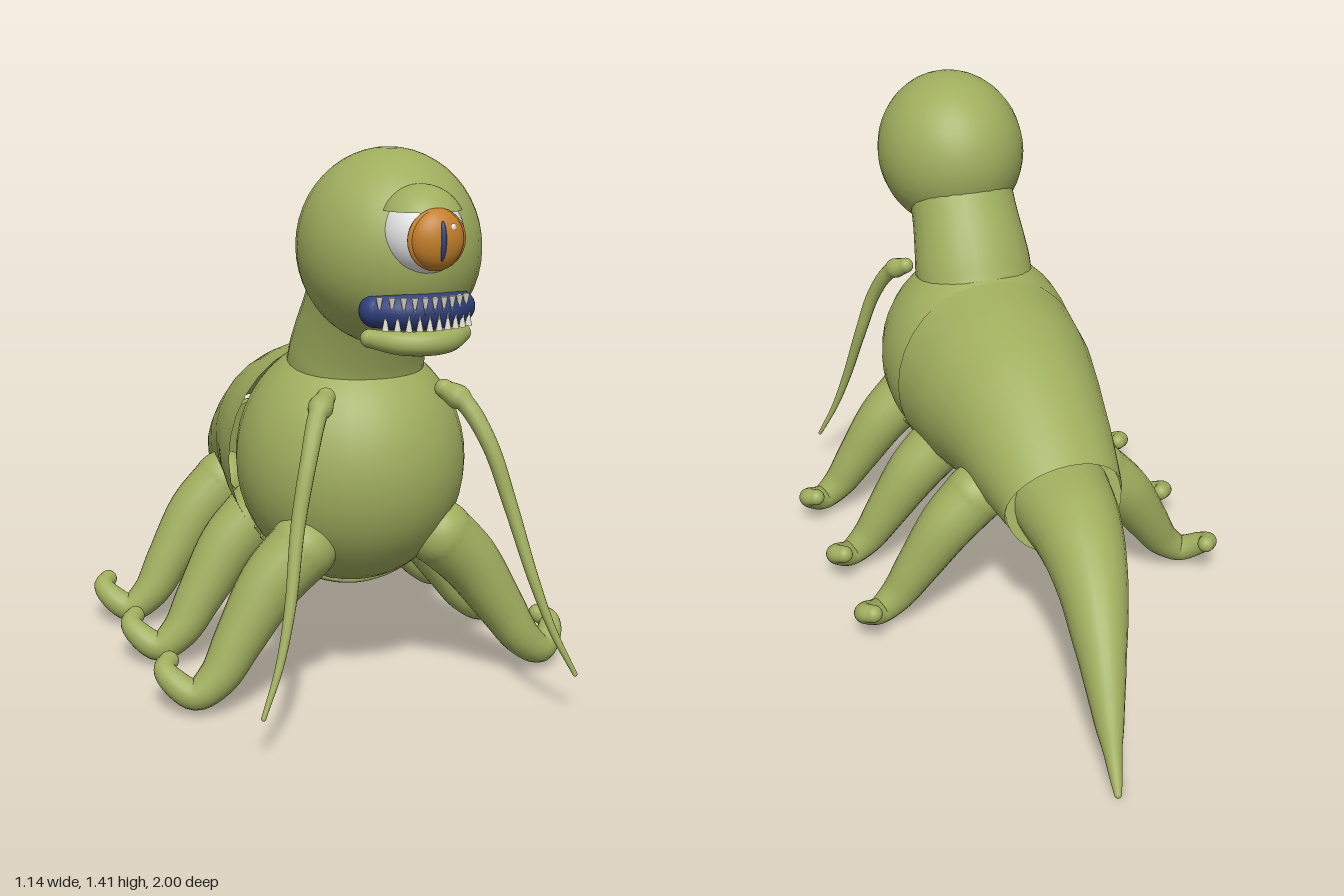
import * as THREE from 'three';
import { mergeVertices } from 'three/addons/utils/BufferGeometryUtils.js';

const mat = (name, color) => {
  const m = new THREE.MeshStandardMaterial({ color });
  m.name = name;
  return m;
};

// Tapered tube through points [x, y, z, radius, x-stretch]
function limb(points, segments, sides = 20) {
  const curve = new THREE.CatmullRomCurve3(points.map(p => new THREE.Vector3(p[0], p[1], p[2])));
  const size = new THREE.CatmullRomCurve3(points.map(p => new THREE.Vector3(p[3], p[4] ?? 1, 0)));
  // Keep the radii in step with the control points
  curve.getPointAt = (t, v) => curve.getPoint(t, v);
  curve.getTangentAt = (t, v) => curve.getTangent(t, v);
  const geo = new THREE.TubeGeometry(curve, segments, 1, sides, false);
  const pos = geo.attributes.position;
  const v = new THREE.Vector3();
  for (let i = 0; i < pos.count; i++) {
    const t = Math.floor(i / (sides + 1)) / segments;
    const c = curve.getPoint(t);
    const s = size.getPoint(t);
    v.fromBufferAttribute(pos, i).sub(c).multiplyScalar(s.x);
    v.x *= s.y;
    v.add(c);
    pos.setXYZ(i, v.x, v.y, v.z);
  }
  geo.deleteAttribute('uv');
  geo.deleteAttribute('normal');
  const smooth = mergeVertices(geo, 1e-5);
  smooth.computeVertexNormals();
  return smooth;
}

export function createModel() {
  const skin = mat('green skin', 0xa0ae5e);
  skin.side = THREE.DoubleSide;
  const blue = mat('dark blue', 0x2e3f7c);
  const orange = mat('orange iris', 0xc4802a);
  const white = mat('eye white', 0xe6e6e6);
  const ivory = mat('ivory teeth', 0xe2decb);
  const root = new THREE.Group();
  root.name = 'creature';

  const add = (name, geo, material, parent = root) => {
    const m = new THREE.Mesh(geo, material);
    m.name = name;
    parent.add(m);
    return m;
  };
  const ball = (name, material, [x, y, z], [rx, ry, rz], parent = root) => {
    const m = add(name, new THREE.SphereGeometry(1, 32, 24), material, parent);
    m.position.set(x, y, z);
    m.scale.set(rx, ry, rz);
    return m;
  };
  // Limb with rounded ends
  const roundLimb = (name, points, segments, sides, material, parent = root) => {
    const g = new THREE.Group();
    g.name = name;
    parent.add(g);
    add(name + 'Shaft', limb(points, segments, sides), material, g);
    for (const p of [points[0], points[points.length - 1]])
      ball(name + 'End', material, p, [p[3], p[3], p[3]], g);
    return g;
  };

  // Torso
  ball('chest', skin, [0, 0.587, 0.43], [0.3, 0.327, 0.31]);
  add('abdomen', limb([
    [0, 0.57, 0.31, 0.312, 0.95], [0, 0.567, 0.17, 0.287, 0.97],
    [0, 0.55, 0.02, 0.25, 0.98], [0, 0.505, -0.15, 0.198, 1.06], [0, 0.456, -0.3, 0.148, 1.18],
  ], 28, 32), skin);
  const rump = add('rumpCap', new THREE.CircleGeometry(1, 32), skin);
  rump.position.set(0, 0.456, -0.3);
  rump.scale.set(0.174, 0.147, 1);
  rump.rotation.set(0.25, Math.PI, 0);

  // Belly folds
  [0.5, 0.43, 0.36, 0.29].forEach(z => {
    const f = Math.sqrt(1 - ((z - 0.43) / 0.31) ** 2);
    const pts = [];
    for (let i = 0; i <= 8; i++) {
      const a = -Math.PI * (0.2 + 0.6 * i / 8);
      pts.push([0.3 * f * Math.cos(a), 0.587 + 0.327 * f * Math.sin(a), z, 0.01]);
    }
    add('bellyFold', limb(pts, 24, 8), skin);
  });

  // Neck and head
  add('neck', limb([
    [0, 0.82, 0.455, 0.172, 1.04], [0, 0.9, 0.487, 0.161, 1.08],
    [0, 1.0, 0.54, 0.15, 1.08], [0, 1.1, 0.6, 0.145, 1.08],
  ], 14, 28), skin);
  ball('head', skin, [0, 1.17, 0.675], [0.222, 0.24, 0.25]);

  // Tail, swept to one side
  add('tail', limb([
    [0, 0.46, -0.26, 0.128, 1.16], [0.01, 0.435, -0.43, 0.124, 1],
    [0.03, 0.375, -0.58, 0.103, 0.95], [0.068, 0.25, -0.75, 0.073, 0.85],
    [0.098, 0.125, -0.88, 0.042, 0.85], [0.12, 0.012, -0.99, 0.01],
  ], 32, 24), skin);
  ball('tailTip', skin, [0.12, 0.012, -0.99], [0.01, 0.01, 0.01]);

  // Eye
  const eye = new THREE.Group();
  eye.name = 'eye';
  root.add(eye);
  ball('eyeball', white, [0, 1.222, 0.87], [0.1, 0.1, 0.1], eye);
  const lid = add('upperLid', new THREE.SphereGeometry(0.107, 32, 12, 0, Math.PI * 2, 0, 1.1), skin, eye);
  lid.position.set(0, 1.23, 0.866);
  ball('iris', orange, [0, 1.218, 0.955], [0.066, 0.07, 0.043], eye);
  const rim = add('irisRim', new THREE.TorusGeometry(0.064, 0.008, 10, 32), orange, eye);
  rim.position.set(0, 1.218, 0.957);
  ball('pupil', blue, [0, 1.218, 0.985], [0.01, 0.046, 0.017], eye);
  ball('glint', white, [0.025, 1.247, 0.984], [0.01, 0.01, 0.008], eye);

  // Mouth
  roundLimb('mouth', [
    [-0.105, 1.045, 0.855, 0.04], [-0.06, 1.045, 0.885, 0.044], [0, 1.045, 0.895, 0.045],
    [0.06, 1.045, 0.885, 0.044], [0.105, 1.045, 0.855, 0.04],
  ], 20, 16, blue);
  roundLimb('lowerLip', [
    [-0.118, 0.98, 0.85, 0.022], [-0.06, 0.973, 0.9, 0.028], [0, 0.972, 0.918, 0.029],
    [0.06, 0.973, 0.9, 0.028], [0.118, 0.98, 0.85, 0.022],
  ], 20, 14, skin);
  const teeth = new THREE.Group();
  teeth.name = 'teeth';
  root.add(teeth);
  const toothGeo = new THREE.ConeGeometry(0.009, 0.042, 8);
  for (const up of [1, -1])
    for (let i = 0; i < 10; i++) {
      const x = -0.113 + 0.226 * (i + (up > 0 ? 0.25 : -0.25) + 0.25) / 9.5;
      const tooth = add(up > 0 ? 'lowerTooth' : 'upperTooth', toothGeo, ivory, teeth);
      tooth.position.set(x, 1.045 - up * 0.018, 0.942 - 3.6 * x * x);
      if (up < 0) tooth.rotation.x = Math.PI;
    }

  // Paired legs and feelers
  for (const s of [1, -1]) {
    const side = s > 0 ? 'left' : 'right';
    [['Front', 0], ['Middle', -0.352], ['Rear', -0.68]].forEach(([place, dz]) => {
      roundLimb(side + place + 'Leg', [
        [s * 0.19, 0.402, 0.592 + dz, 0.088], [s * 0.275, 0.318, 0.592 + dz, 0.081],
        [s * 0.365, 0.185, 0.607 + dz, 0.064], [s * 0.425, 0.095, 0.618 + dz, 0.051],
        [s * 0.482, 0.055, 0.612 + dz, 0.04], [s * 0.53, 0.083, 0.575 + dz, 0.034],
        [s * 0.543, 0.105, 0.545 + dz, 0.028], [s * 0.524, 0.115, 0.518 + dz, 0.025],
      ], 40, 18, skin);
    });
    roundLimb(side + 'Feeler', [
      [s * 0.158, 0.805, 0.67, 0.024], [s * 0.195, 0.775, 0.715, 0.024],
      [s * 0.238, 0.68, 0.77, 0.021], [s * 0.28, 0.53, 0.81, 0.018],
      [s * 0.32, 0.35, 0.868, 0.014], [s * 0.36, 0.22, 0.905, 0.01], [s * 0.409, 0.112, 0.935, 0.006],
    ], 36, 12, skin);
  }
  return root;
}
